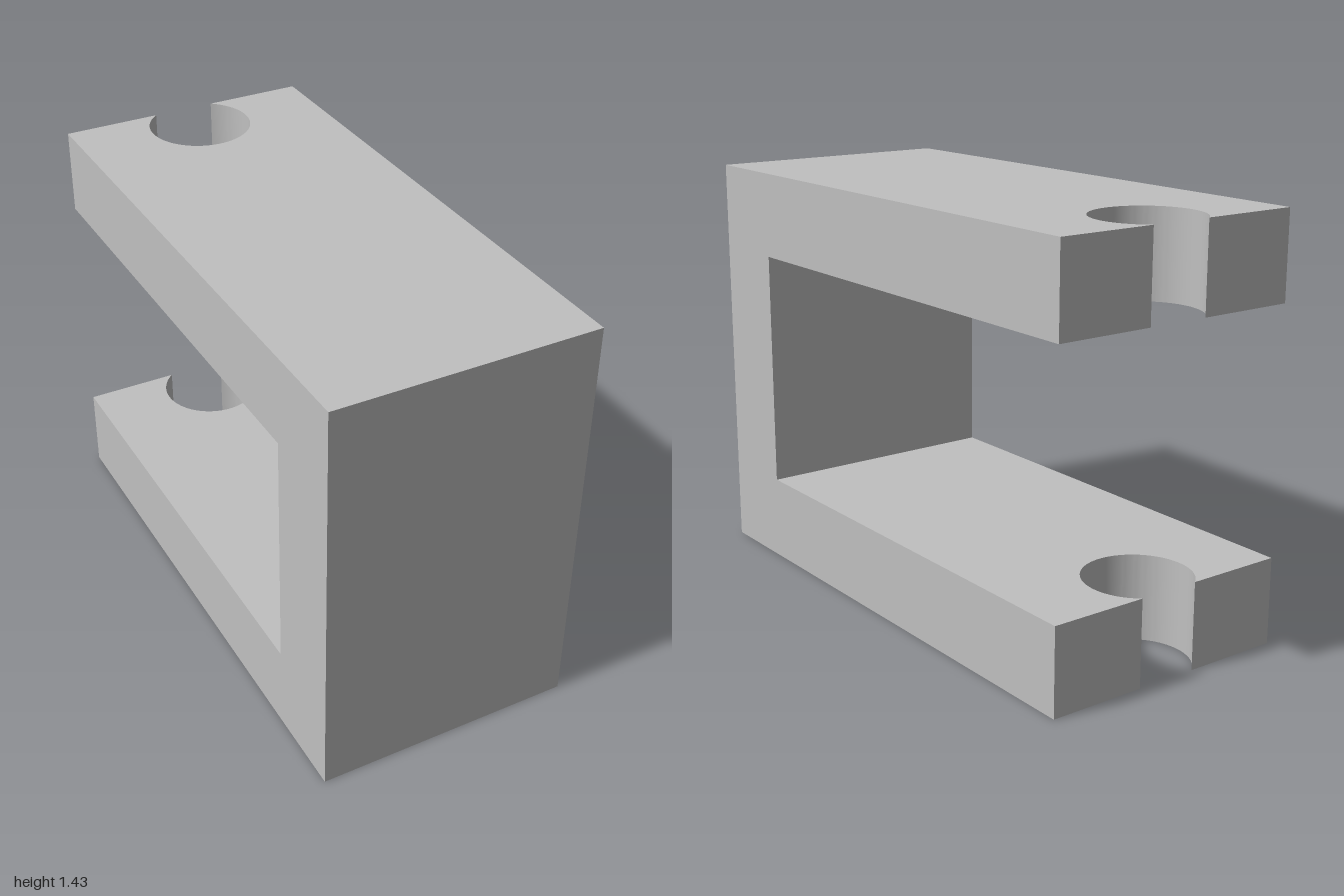
import * as THREE from 'three';
import { toCreasedNormals } from 'three/addons/utils/BufferGeometryUtils.js';

const LENGTH = 1.933, WIDTH = 0.895, HEIGHT = 1.43;
const ARM = 0.297, WALL = 0.3;          // arm and back wall thickness
const HOLE_X = -0.823, HOLE_R = 0.18;   // round notch breaking through the arm end

// Rectangular plate with a round notch cut through its free end
function armGeometry() {
  const l = LENGTH / 2, w = WIDTH / 2;
  const angle = Math.acos((-l - HOLE_X) / HOLE_R);
  const mouth = HOLE_R * Math.sin(angle);
  const shape = new THREE.Shape();
  shape.moveTo(-l, -w);
  shape.lineTo(l, -w);
  shape.lineTo(l, w);
  shape.lineTo(-l, w);
  shape.lineTo(-l, mouth);
  shape.absarc(HOLE_X, 0, HOLE_R, angle, -angle, true);
  shape.closePath();
  const geo = new THREE.ExtrudeGeometry(shape, { depth: ARM, bevelEnabled: false, curveSegments: 48 });
  geo.rotateX(-Math.PI / 2);
  return toCreasedNormals(geo, 0.5);
}

export function createModel() {
  const grey = new THREE.MeshStandardMaterial({ color: 0xc0c0c0 });
  grey.name = 'plainGrey';
  const model = new THREE.Group();
  model.name = 'notchedBracket';

  // Matching lower and upper arms
  const geo = armGeometry();
  for (const [name, y] of [['lowerArm', 0], ['upperArm', HEIGHT - ARM]]) {
    const arm = new THREE.Mesh(geo, grey);
    arm.name = name;
    arm.position.y = y;
    model.add(arm);
  }

  // Upright wall joining the arms
  const wall = new THREE.Mesh(new THREE.BoxGeometry(WALL, HEIGHT - 2 * ARM, WIDTH), grey);
  wall.name = 'uprightWall';
  wall.position.set(LENGTH / 2 - WALL / 2, HEIGHT / 2, 0);
  model.add(wall);

  // The bracket stands diagonally
  model.rotation.y = -Math.PI / 4;
  return model;
}
